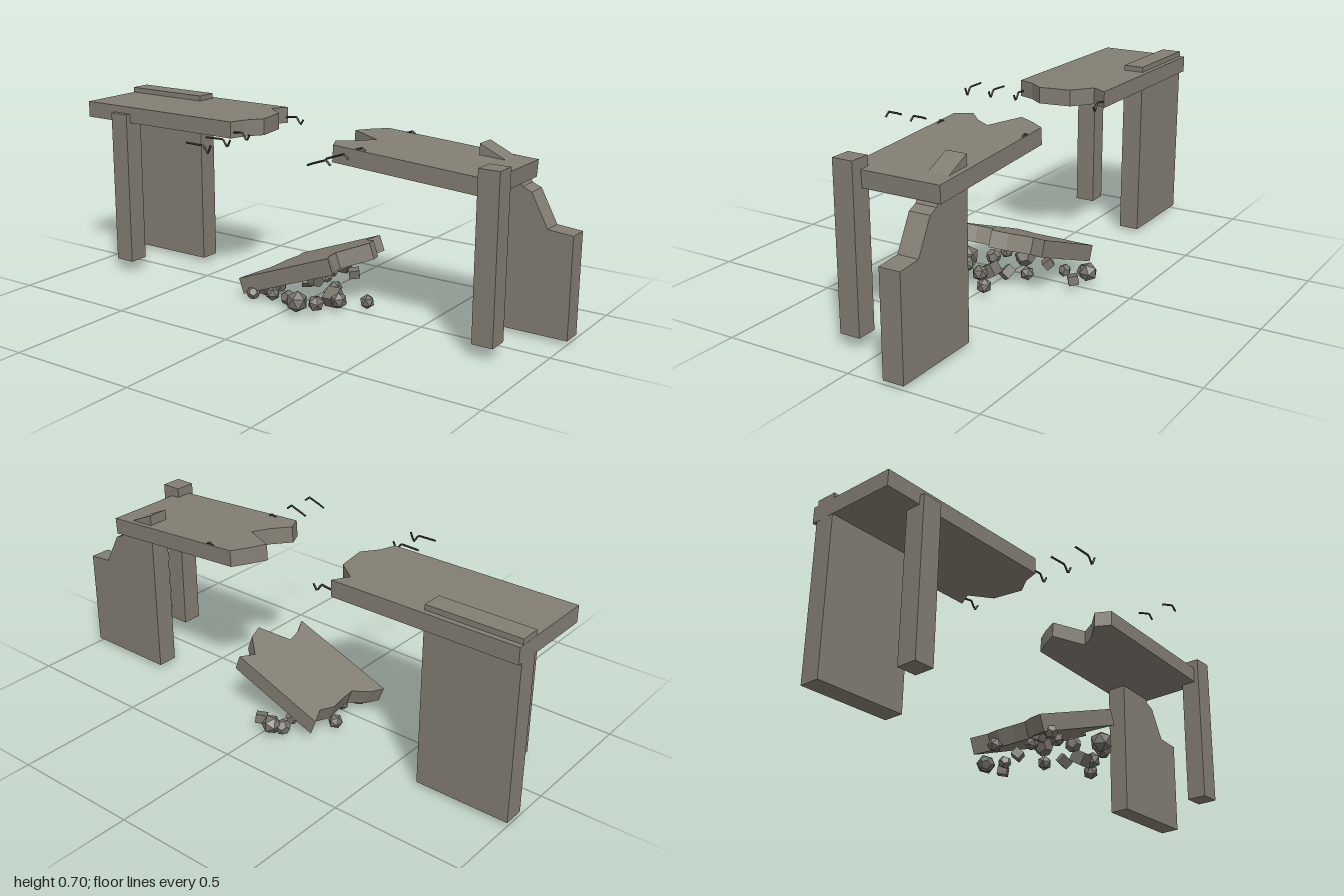
import * as THREE from 'three';

export function createModel() {
  const root = new THREE.Group();
  const mat = (name, color) => {
    const m = new THREE.MeshStandardMaterial({ color, flatShading: true });
    m.name = name;
    return m;
  };
  const concrete = mat('concrete', 0x837e73);
  const rubbleGrey = mat('rubbleGrey', 0x77746c);
  const steel = mat('rebarSteel', 0x45413e);

  const add = (name, geo, material, x = 0, y = 0, z = 0) => {
    const m = new THREE.Mesh(geo, material);
    m.name = name;
    m.position.set(x, y, z);
    root.add(m);
    return m;
  };

  // Walls and pillars
  add('leftWall', new THREE.BoxGeometry(0.365, 0.69, 0.08), concrete, -0.817, 0.36, -0.18);
  const wall = new THREE.Shape([
    [0.635, 0.015], [1, 0.015], [1, 0.395], [0.905, 0.403], [0.84, 0.525],
    [0.805, 0.54], [0.765, 0.61], [0.635, 0.67],
  ].map(p => new THREE.Vector2(...p)));
  add('brokenWall', new THREE.ExtrudeGeometry(wall, { depth: 0.08, bevelEnabled: false }),
    concrete, 0, 0, -0.22);
  for (const s of [-1, 1])
    add('pillar', new THREE.BoxGeometry(0.08, 0.61, 0.08), concrete, s * 0.816, 0.352, 0.105);

  // Deck slabs: x values of each end, listed from the front edge to the back edge
  const T = 0.063;
  const slab = (name, startX, endX) => {
    const edge = xs => xs.map((x, i) =>
      new THREE.Vector2(x, -0.125 + 0.365 * i / (xs.length - 1)));
    const shape = new THREE.Shape([...edge(endX), ...edge(startX).reverse()]);
    const g = new THREE.ExtrudeGeometry(shape, { depth: T, bevelEnabled: false });
    g.translate(0, 0, -T / 2);
    g.rotateX(-Math.PI / 2);
    return add(name, g, concrete);
  };
  const left = slab('leftDeck', [-1, -1], [-0.265, -0.245, -0.2, -0.21, -0.22, -0.3, -0.265]);
  left.position.y = 0.653;
  const right = slab('rightDeck',
    [0.195, 0.165, 0.225, 0.26, 0.13, 0.16, 0.2].map(x => x - 0.47), [0.343, 0.343]);
  right.position.set(0.47, 0.608, 0);
  right.rotation.z = -0.062;
  const fallen = slab('fallenDeck',
    [-0.25, -0.23, -0.185, -0.19, -0.2, -0.18, -0.21],
    [0.19, 0.155, 0.14, 0.257, 0.235, 0.16, 0.185]);
  fallen.position.set(0.01, 0.136, 0);
  fallen.rotation.z = 0.362;

  // Bent reinforcing bars
  const bar = (pts, z) => {
    const path = new THREE.CurvePath();
    for (let i = 0; i < pts.length - 1; i++)
      path.add(new THREE.LineCurve3(new THREE.Vector3(...pts[i], z), new THREE.Vector3(...pts[i + 1], z)));
    add('rebar', new THREE.TubeGeometry(path, 16, 0.004, 5), steel);
  };
  [-0.235, 0.11, 0.225, 0.335].forEach((z, i) => {
    const d = i * 0.004;
    bar([[-0.3, 0.64], [-0.22, 0.651 - d], [-0.2, 0.622 - d], [-0.185, 0.645]], z);
    bar([[0.235, 0.63], [0.26, 0.64], [0.31, 0.657], [0.33, 0.64]], z);
  });

  // Rubble: x, y, z, radius, with chunky blocks among the round stones
  const stones = [
    [-0.04, 0.05, -0.305, 0.037], [-0.07, 0.035, -0.275, 0.03], [0.065, 0.055, 0.162, 0.042],
    [0.125, 0.05, 0.125, 0.032], [-0.17, 0.03, 0.12, 0.026], [-0.195, 0.035, -0.12, 0.028],
    [0.25, 0.037, -0.03, 0.029], [0.0, 0.075, -0.055, 0.04], [-0.1, 0.032, 0.09, 0.028],
    [0.17, 0.045, 0.04, 0.032], [-0.05, 0.03, -0.2, 0.025], [-0.13, 0.03, 0.0, 0.026],
    [0.06, 0.035, -0.1, 0.028], [-0.02, 0.035, 0.1, 0.03],
  ];
  stones.forEach(([x, y, z, r], i) => {
    const g = i % 3 === 1 ? new THREE.DodecahedronGeometry(r) : new THREE.IcosahedronGeometry(r);
    add('rubbleStone', g, rubbleGrey, x, y, z).rotation.set(i * 1.3, i * 0.7, i * 2.1);
  });
  const blocks = [
    [0.03, 0.038, -0.28, 0.042], [0.13, 0.045, 0.02, 0.06], [0.09, 0.035, -0.03, 0.045],
    [-0.08, 0.03, -0.11, 0.04], [-0.16, 0.03, 0.06, 0.035],
  ];
  blocks.forEach(([x, y, z, s], i) => {
    add('rubbleBlock', new THREE.BoxGeometry(s, s * 0.8, s * 0.9), rubbleGrey, x, y, z)
      .rotation.set(0.2 + i * 0.2, 0.6 + i, 0.15 * i);
  });

  return root;
}
